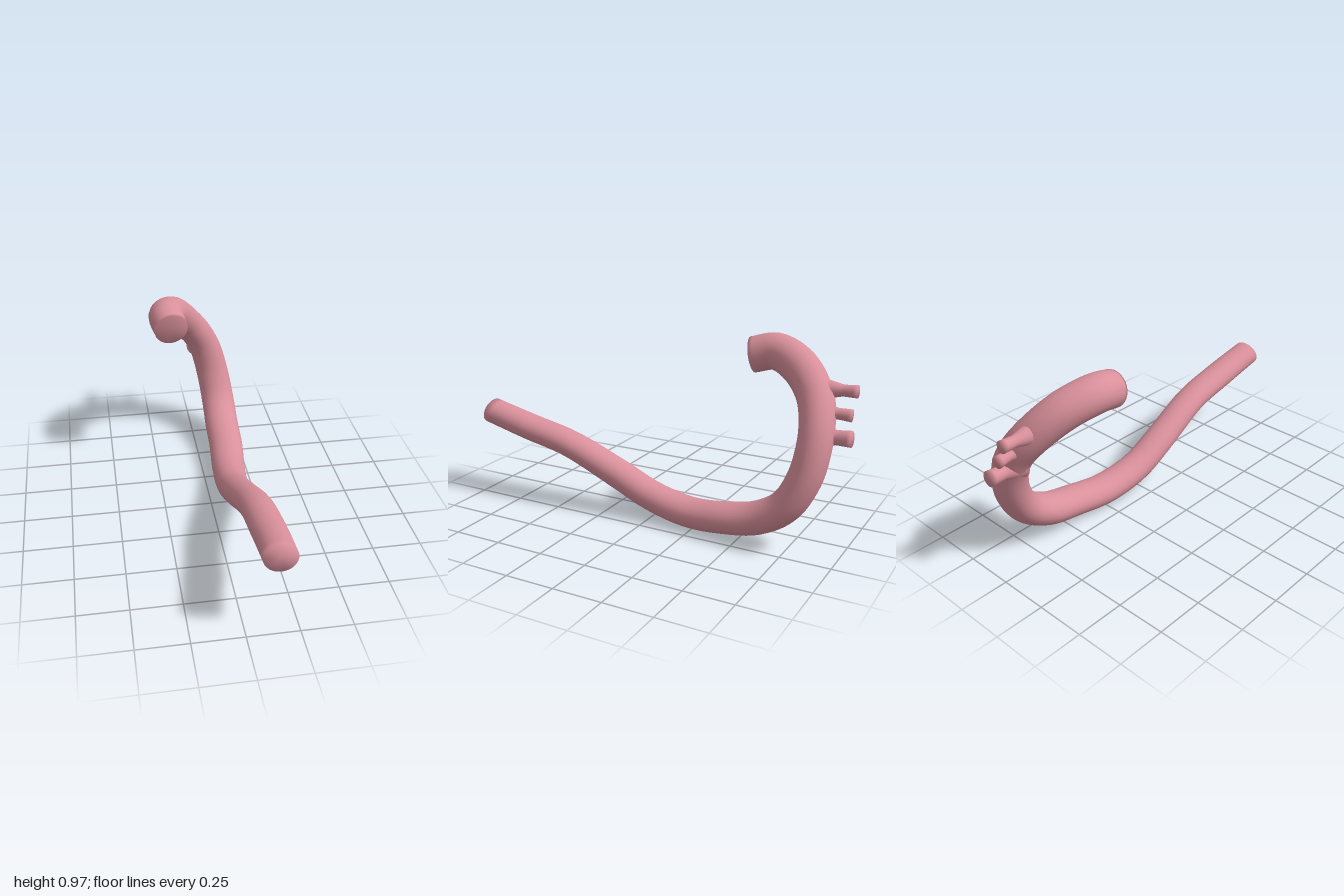
import * as THREE from 'three';

const material = new THREE.MeshStandardMaterial({ color: 0xd9909b });

// Closed, capped tube through stations [x, y, z, sideRadius, otherRadius]
function vessel(name, stations, rings, sides) {
  const curve = new THREE.CatmullRomCurve3(stations.map(s => new THREE.Vector3(s[0], s[1], s[2])));
  const n = stations.length - 1;
  const positions = [], index = [];
  const side = new THREE.Vector3(), other = new THREE.Vector3(), p = new THREE.Vector3();

  for (let i = 0; i <= rings; i++) {
    const t = i / rings;
    const k = Math.min(n - 1, Math.floor(t * n)), f = t * n - k;
    const a = THREE.MathUtils.lerp(stations[k][3], stations[k + 1][3], f);
    const b = THREE.MathUtils.lerp(stations[k][4], stations[k + 1][4], f);
    const centre = curve.getPoint(t), tangent = curve.getTangent(t);
    // Section axes: one as near to x as possible, one across it
    side.set(1, 0, 0).addScaledVector(tangent, -tangent.x).normalize();
    other.crossVectors(tangent, side);
    for (let j = 0; j < sides; j++) {
      const angle = j / sides * Math.PI * 2;
      p.copy(centre).addScaledVector(side, a * Math.cos(angle)).addScaledVector(other, b * Math.sin(angle));
      positions.push(p.x, p.y, p.z);
    }
  }
  for (let i = 0; i < rings; i++) {
    for (let j = 0; j < sides; j++) {
      const j2 = (j + 1) % sides, r = i * sides, q = r + sides;
      index.push(r + j, r + j2, q + j, r + j2, q + j2, q + j);
    }
  }
  // End caps
  for (const end of [0, 1]) {
    const c = curve.getPoint(end), hub = positions.length / 3, base = end * rings * sides;
    positions.push(c.x, c.y, c.z);
    for (let j = 0; j < sides; j++) {
      const u = base + j, v = base + (j + 1) % sides;
      if (end) index.push(hub, u, v);
      else index.push(hub, v, u);
    }
  }
  const geometry = new THREE.BufferGeometry();
  geometry.setAttribute('position', new THREE.Float32BufferAttribute(positions, 3));
  geometry.setIndex(index);
  geometry.computeVertexNormals();
  const mesh = new THREE.Mesh(geometry, material);
  mesh.name = name;
  return mesh;
}

export function createModel() {
  const model = new THREE.Group();
  model.name = 'archedVessel';

  // Main vessel: short upper limb, arch, then long lower limb
  model.add(vessel('mainVessel', [
    [-0.148, 0.855, -0.425, 0.091, 0.09],
    [-0.162, 0.880, -0.54, 0.096, 0.091],
    [-0.108, 0.832, -0.68, 0.093, 0.093],
    [-0.025, 0.725, -0.79, 0.090, 0.088],
    [0.050, 0.620, -0.832, 0.088, 0.084],
    [0.097, 0.520, -0.840, 0.090, 0.082],
    [0.135, 0.370, -0.815, 0.094, 0.082],
    [0.155, 0.225, -0.735, 0.096, 0.081],
    [0.156, 0.138, -0.60, 0.097, 0.081],
    [0.152, 0.098, -0.42, 0.096, 0.077],
    [0.132, 0.080, -0.22, 0.092, 0.075],
    [0.116, 0.118, 0.00, 0.085, 0.075],
    [0.120, 0.205, 0.20, 0.084, 0.074],
    [0.140, 0.328, 0.48, 0.083, 0.068],
    [0.145, 0.387, 0.74, 0.084, 0.068],
    [0.141, 0.443, 0.995, 0.079, 0.067],
  ], 90, 28));

  // Three small branches on the back of the arch: [rootX, rootY, tipX, tipY, tipZ, radius]
  const branches = [
    ['upperBranch', -0.050, 0.755, -0.052, 0.760, -0.985, 0.030],
    ['middleBranch', 0.010, 0.665, -0.002, 0.658, -0.980, 0.029],
    ['lowerBranch', 0.045, 0.555, 0.044, 0.562, -0.998, 0.038],
  ];
  for (const [name, x0, y0, x1, y1, z1, r] of branches) {
    const z0 = -0.82;
    const at = (t, k) => [x0 + (x1 - x0) * t, y0 + (y1 - y0) * t, z0 + (z1 - z0) * t, r * k, r * k];
    model.add(vessel(name, [at(0, 1.7), at(0.3, 1.3), at(0.6, 0.92), at(1, 1.03)], 12, 16));
  }
  return model;
}
